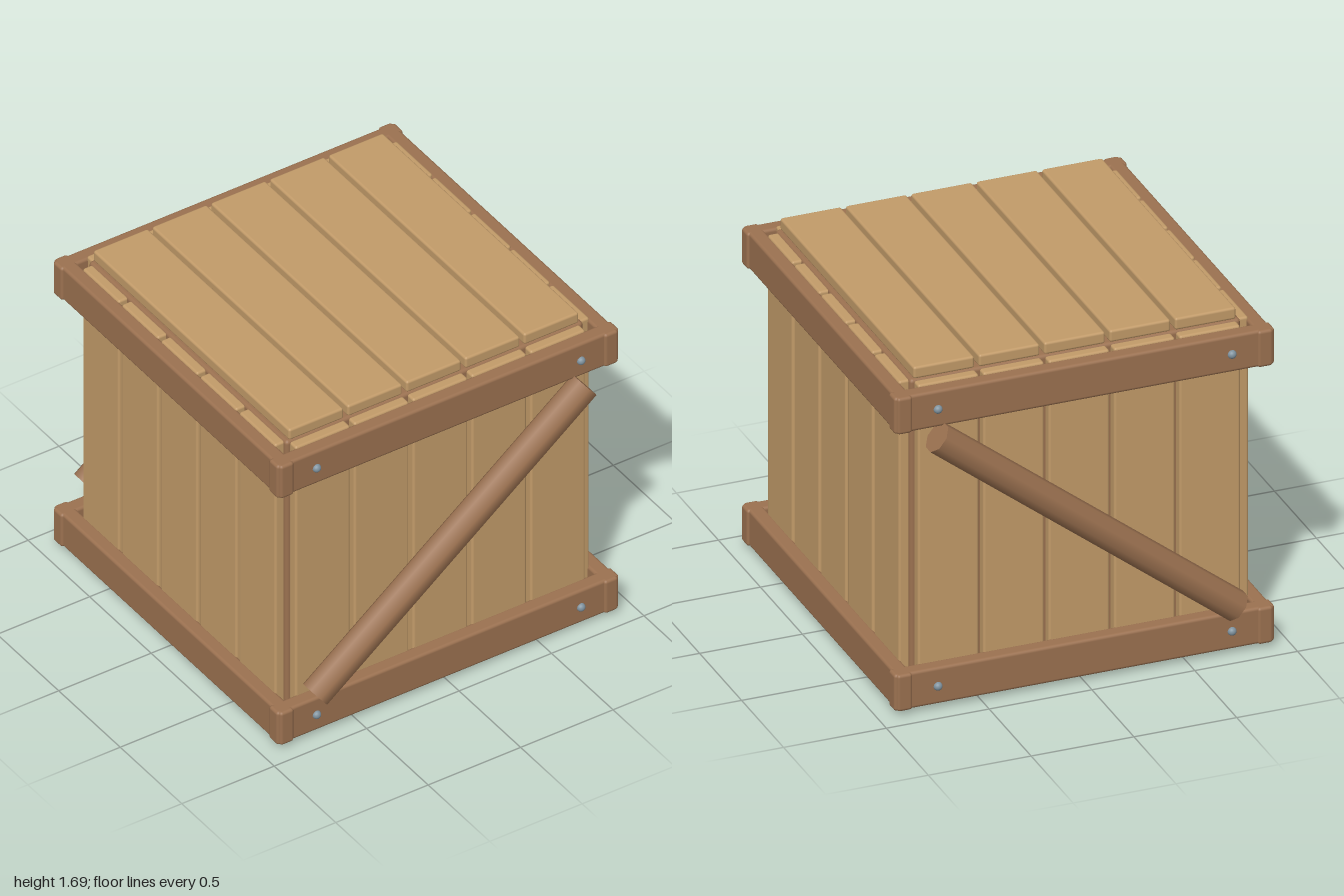
import * as THREE from 'three';
import { RoundedBoxGeometry } from 'three/addons/geometries/RoundedBoxGeometry.js';

const plankWood = new THREE.MeshStandardMaterial({ name: 'lightPlankWood', color: 0xc29b69 });
const frameWood = new THREE.MeshStandardMaterial({ name: 'brownFrameWood', color: 0x9b7150 });
const steel = new THREE.MeshStandardMaterial({ name: 'boltSteel', color: 0x80939f });

function add(parent, name, geometry, material, x, y, z) {
  const mesh = new THREE.Mesh(geometry, material);
  mesh.name = name;
  mesh.position.set(x, y, z);
  parent.add(mesh);
  return mesh;
}

const block = (w, h, d, r) => new RoundedBoxGeometry(w, h, d, 2, r);

export function createModel() {
  const crate = new THREE.Group();
  crate.name = 'crate';

  // Solid inner box, seen in the gaps between planks and underneath
  add(crate, 'innerBox', block(1.61, 1.63, 1.61, 0.018), frameWood, 0, 0.815, 0);

  // Five planks on the lid and on every wall
  const pitch = 0.318;
  const width = 0.296;
  const lidPlank = block(width, 0.06, 1.595, 0.012);
  const wallPlank = block(width, 1.6, 0.055, 0.012);
  for (let i = -2; i <= 2; i++) {
    add(crate, 'lidPlank', lidPlank, plankWood, i * pitch, 1.657, 0);
  }

  const railEnds = block(1.85, 0.185, 0.075, 0.015);
  const bolt = new THREE.SphereGeometry(0.021, 16, 8, 0, Math.PI * 2, 0, Math.PI / 2);
  bolt.rotateX(Math.PI / 2);

  // Walls: planks plus a lower and an upper rail on each of the four sides
  ['frontWall', 'leftWall', 'backWall', 'rightWall'].forEach((name, side) => {
    const wall = new THREE.Group();
    wall.name = name;
    wall.rotation.y = side * Math.PI / 2;
    crate.add(wall);

    for (let i = -2; i <= 2; i++) {
      add(wall, 'wallPlank', wallPlank, plankWood, i * pitch, 0.822, 0.823);
    }
    for (const y of [0.118, 1.52]) {
      add(wall, 'rail', railEnds, frameWood, 0, y, 0.877);
      // Bolts only on the front and back rails
      if (side % 2 === 0) {
        for (const x of [-0.715, 0.715]) add(wall, 'bolt', bolt, steel, x, y, 0.916);
      }
    }
  });

  // Diagonal eight-sided braces, parallel on front and back
  const start = new THREE.Vector2(-0.732, 0.249);
  const end = new THREE.Vector2(0.725, 1.387);
  const span = end.clone().sub(start);
  const braceGeometry = new THREE.CylinderGeometry(0.0757, 0.0757, span.length(), 8);
  braceGeometry.rotateY(Math.PI / 8);
  for (const z of [0.93, -0.93]) {
    const brace = add(crate, z > 0 ? 'frontBrace' : 'backBrace', braceGeometry, frameWood,
      (start.x + end.x) / 2, (start.y + end.y) / 2, z);
    brace.rotation.z = Math.atan2(span.y, span.x) - Math.PI / 2;
  }

  return crate;
}
